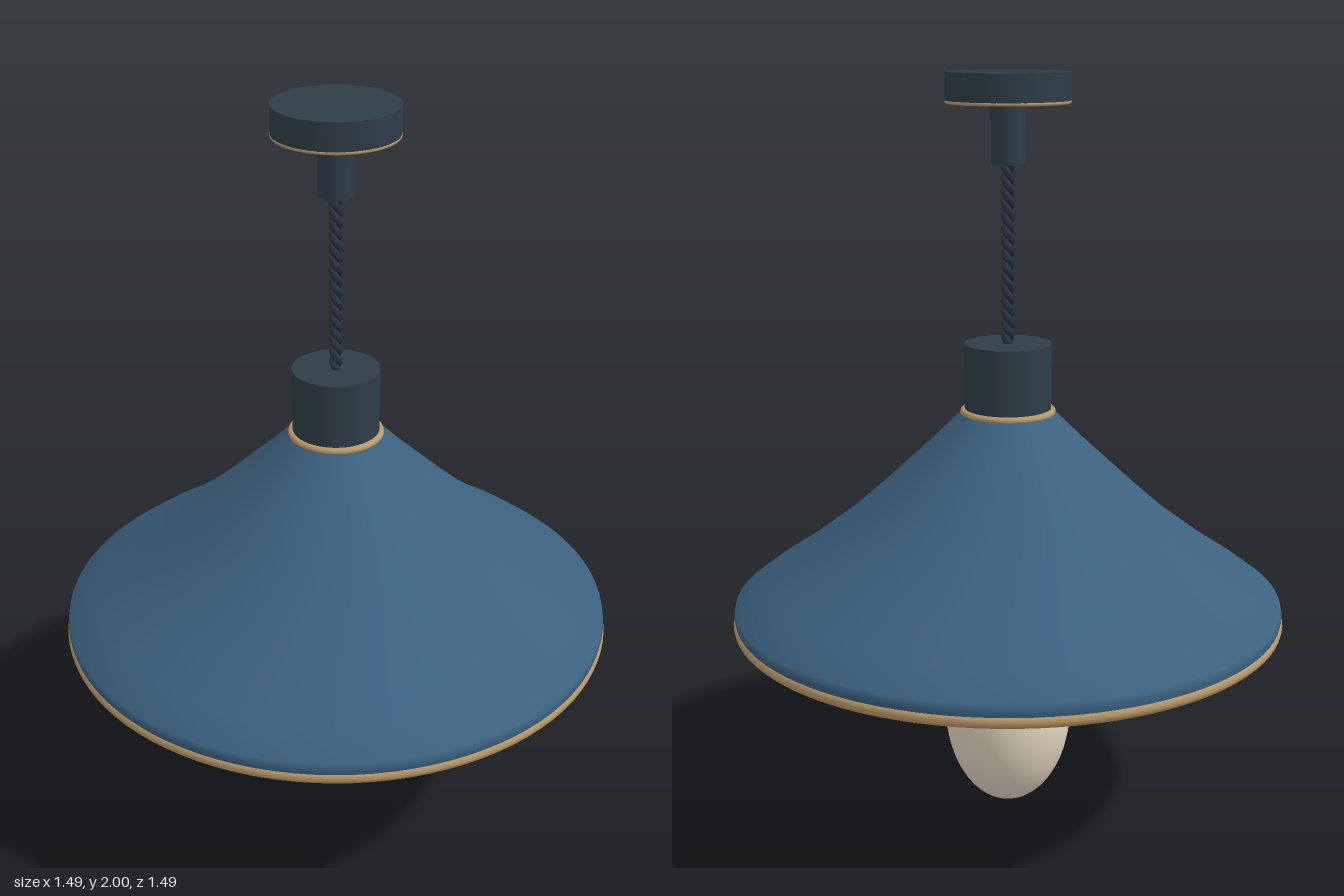
import * as THREE from 'three';

const mat = (name, color, side = THREE.FrontSide) => {
  const m = new THREE.MeshStandardMaterial({ color, side });
  m.name = name;
  return m;
};

export function createModel() {
  const blue = mat('blue enamel', 0x3b617f);
  const charcoal = mat('charcoal metal', 0x2e3d48);
  const brass = mat('brass', 0xba9868);
  const cream = mat('cream lining', 0xe2d4bf);
  const glass = mat('warm bulb glass', 0xe4d6c1);
  const ceramic = mat('ceramic', 0xe2d8cc);
  const dark = mat('dark cord', 0x26333f);

  const lamp = new THREE.Group();
  lamp.name = 'pendantLamp';
  const add = (name, geometry, material, y = 0) => {
    const mesh = new THREE.Mesh(geometry, material);
    mesh.name = name;
    mesh.position.y = y;
    lamp.add(mesh);
    return mesh;
  };
  // upright cylinder between two heights
  const post = (name, r, y0, y1, material) =>
    add(name, new THREE.CylinderGeometry(r, r, y1 - y0, 48), material, (y0 + y1) / 2);
  // horizontal ring
  const ring = (name, r, tube, y, material) =>
    add(name, new THREE.TorusGeometry(r, tube, 12, 96).rotateX(Math.PI / 2), material, y);
  const lathe = (points, segments = 96) =>
    new THREE.LatheGeometry(points.map(([r, y]) => new THREE.Vector2(r, y)), segments);

  // ceiling canopy and stem
  post('canopy', 0.16, 1.925, 2, charcoal);
  ring('canopyTrim', 0.156, 0.005, 1.926, brass);
  post('stem', 0.045, 1.77, 1.93, charcoal);

  // twisted two-strand cord
  const bottom = 1.29, top = 1.79, turns = 8;
  for (let s = 0; s < 2; s++) {
    const points = [];
    for (let i = 0; i <= turns * 8; i++) {
      const t = i / (turns * 8);
      const a = t * turns * Math.PI * 2 + s * Math.PI;
      points.push(new THREE.Vector3(Math.cos(a) * 0.008, bottom + (top - bottom) * t, Math.sin(a) * 0.008));
    }
    add('cordStrand', new THREE.TubeGeometry(new THREE.CatmullRomCurve3(points), 160, 0.01, 8), dark);
  }

  // neck above the shade
  post('neck', 0.115, 1.11, 1.305, charcoal);
  ring('neckTrim', 0.117, 0.01, 1.122, brass);

  // shade: outer shell, inner lining and lower lip
  const profile = [
    [0.738, 0.565], [0.742, 0.585], [0.738, 0.605], [0.667, 0.66], [0.57, 0.725], [0.445, 0.82],
    [0.36, 0.895], [0.28, 0.97], [0.205, 1.04], [0.15, 1.095], [0.12, 1.125],
  ];
  add('shade', lathe(profile), blue);
  const lining = profile.slice(3).map(([r, y]) => [r - 0.008, y - 0.016]);
  add('shadeLining', lathe([[0.695, 0.56], [0.69, 0.6], ...lining].reverse()), cream);
  add('shadeLip', lathe([[0.69, 0.562], [0.738, 0.562]]), blue);
  ring('rimTrim', 0.726, 0.019, 0.56, brass);
  ring('innerRimTrim', 0.691, 0.008, 0.562, dark);

  // socket with ringed brass sleeve
  post('socket', 0.113, 0.84, 1.12, ceramic);
  post('socketSleeve', 0.097, 0.64, 0.845, brass);
  for (const y of [0.65, 0.725, 0.8]) ring('socketRing', 0.097, 0.011, y, dark);
  post('bulbCap', 0.088, 0.495, 0.645, brass);

  // bulb
  add('bulb', new THREE.SphereGeometry(0.174, 40, 24).scale(1, 0.268 / 0.174, 1), glass, 0.268);

  return lamp;
}
